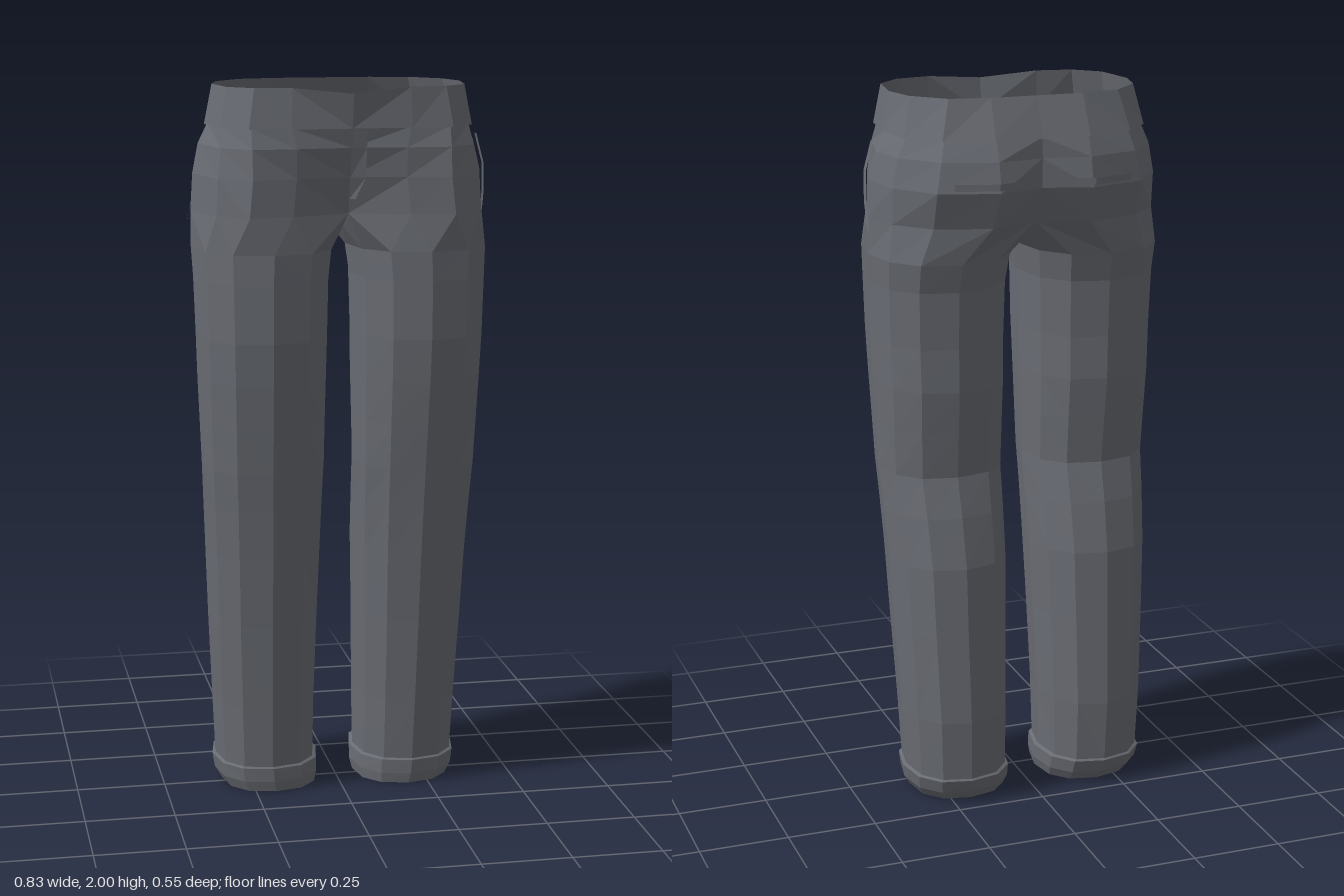
import * as THREE from 'three';

const cloth = new THREE.MeshStandardMaterial({ color: 0x686b72, flatShading: true, side: THREE.DoubleSide });
cloth.name = 'charcoal cloth';

// Skin a stack of point rows; closed rows wrap round.
function loft(rows, closed) {
  const n = rows[0].length, pos = rows.flat(2), index = [];
  for (let r = 0; r < rows.length - 1; r++) {
    for (let i = 0; i < (closed ? n : n - 1); i++) {
      const k = (i + 1) % n;
      const a = r * n + i, b = r * n + k, c = b + n, d = a + n;
      index.push(a, b, c, a, c, d);
    }
  }
  const g = new THREE.BufferGeometry();
  g.setAttribute('position', new THREE.Float32BufferAttribute(pos, 3));
  g.setIndex(index);
  g.computeVertexNormals();
  return g;
}

// Twelve-sided rounded leg section between inner/outer x and back/front z.
// It starts at the front inner corner and runs round the outer side.
function legRing([y, xi, xo, zf, zb]) {
  const soft = (v) => Math.sign(v) * Math.abs(v) ** 0.85;
  return Array.from({ length: 12 }, (_, i) => {
    const a = ((i - 1) * Math.PI) / 6;
    return [
      (xi + xo) / 2 + ((xo - xi) / 2) * soft(Math.sin(a)),
      y,
      (zf + zb) / 2 + ((zf - zb) / 2) * soft(Math.cos(a)),
    ];
  });
}

// Half outline of the hips at height y, front centre to back centre.
const hipRow = (y, pts) => pts.map(([x, z]) => [x, y, z]);

const thighTop = hipRow(1.66, [[0, 0.19], [0.16, 0.25], [0.28, 0.268], [0.36, 0.2], [0.408, 0.03],
  [0.375, -0.09], [0.29, -0.185], [0.14, -0.235], [0, -0.175]]);
const seat = hipRow(1.76, [[0, 0.215], [0.15, 0.245], [0.27, 0.262], [0.355, 0.2], [0.402, 0.03],
  [0.375, -0.1], [0.29, -0.22], [0.13, -0.272], [0, -0.228]]);
const hip = hipRow(1.84, [[0, 0.235], [0.15, 0.25], [0.27, 0.252], [0.345, 0.19], [0.385, 0.02],
  [0.36, -0.1], [0.275, -0.21], [0.13, -0.255], [0, -0.232]]);
const waist = hipRow(1.895, [[0, 0.245], [0.16, 0.243], [0.27, 0.235], [0.335, 0.17], [0.358, 0.02],
  [0.335, -0.1], [0.26, -0.19], [0.13, -0.232], [0, -0.228]]);
const beltTop = hipRow(2, [[0, 0.268], [0.16, 0.242], [0.26, 0.225], [0.325, 0.16], [0.345, 0.02],
  [0.32, -0.08], [0.24, -0.165], [0.13, -0.188], [0, -0.188]]);
beltTop[0][1] = 1.985;

// Saddle under the crotch, back to front on the centre line.
const crotch = [[0, 1.61, -0.11], [0, 1.59, 0], [0, 1.615, 0.11]];

// Leg sections: y, inner x, outer x, front z, back z.
const legSections = [
  [0.07, 0.06, 0.345, 0.12, -0.218],
  [0.25, 0.058, 0.353, 0.138, -0.228],
  [0.5, 0.052, 0.365, 0.165, -0.215],
  [0.7, 0.046, 0.373, 0.188, -0.205],
  [0.84, 0.043, 0.38, 0.205, -0.175],
  [0.95, 0.04, 0.386, 0.22, -0.143],
  [1.08, 0.038, 0.391, 0.238, -0.158],
  [1.2, 0.036, 0.396, 0.255, -0.172],
  [1.32, 0.034, 0.4, 0.268, -0.172],
  [1.48, 0.03, 0.405, 0.271, -0.18],
  [1.56, 0.02, 0.409, 0.271, -0.2],
];

// Hem band, folded under and up inside the leg.
const cuffSections = [
  [0.06, 0.083, 0.292, 0.072, -0.142],
  [0.006, 0.083, 0.292, 0.072, -0.142],
  [0, 0.056, 0.33, 0.117, -0.182],
  [0.03, 0.049, 0.348, 0.123, -0.207],
  [0.07, 0.05, 0.354, 0.125, -0.223],
  [0.075, 0.06, 0.345, 0.12, -0.218],
];

function add(group, name, geometry) {
  const mesh = new THREE.Mesh(geometry, cloth);
  mesh.name = name;
  group.add(mesh);
}

function makeHalf(name) {
  const half = new THREE.Group();
  half.name = name;
  add(half, 'leg', loft([...legSections.map(legRing), [...thighTop, ...crotch]], true));
  add(half, 'cuff', loft(cuffSections.map(legRing), true));
  add(half, 'hips', loft([thighTop, seat, hip, waist], false));

  // Waistband stands slightly proud of the hips.
  const beltBottom = waist.map(([x, y, z]) => [x * 1.025, y - 0.003, z * 1.025]);
  add(half, 'waistband', loft([waist, beltBottom, beltTop], false));

  // Slanted side pocket edge, with a narrow lip standing off the hip.
  const pocketPath = [[0.376, 1.86, 0.08], [0.396, 1.78, 0.085], [0.404, 1.7, 0.06], [0.411, 1.63, 0.01]];
  add(half, 'sidePocketEdge', loft([
    pocketPath.map(([x, y, z]) => [x + 0.002, y, z - 0.016]),
    pocketPath.map(([x, y, z]) => [x + 0.004, y, z]),
  ], false));

  // Back pocket welt.
  const welt = [[0.25, -0.242], [0.135, -0.276], [0.08, -0.26]];
  add(half, 'backPocketWelt', loft([hipRow(1.768, welt), hipRow(1.786, welt)], false));
  return half;
}

export function createModel() {
  const trousers = new THREE.Group();
  trousers.name = 'trousers';

  const left = makeHalf('leftHalf');
  const right = makeHalf('rightHalf');
  right.scale.x = -1;
  trousers.add(left, right);

  // Fly flap beside the front seam.
  const flyPath = [[1.7, 0.2], [1.76, 0.219], [1.84, 0.239], [1.89, 0.249]];
  add(trousers, 'fly', loft(flyPath.map(([y, z], i) => [
    [0, y, z + 0.002], [i ? 0.04 : 0.015, y, z + (i < 2 ? 0.013 : 0.006)],
  ]), false));
  return trousers;
}
